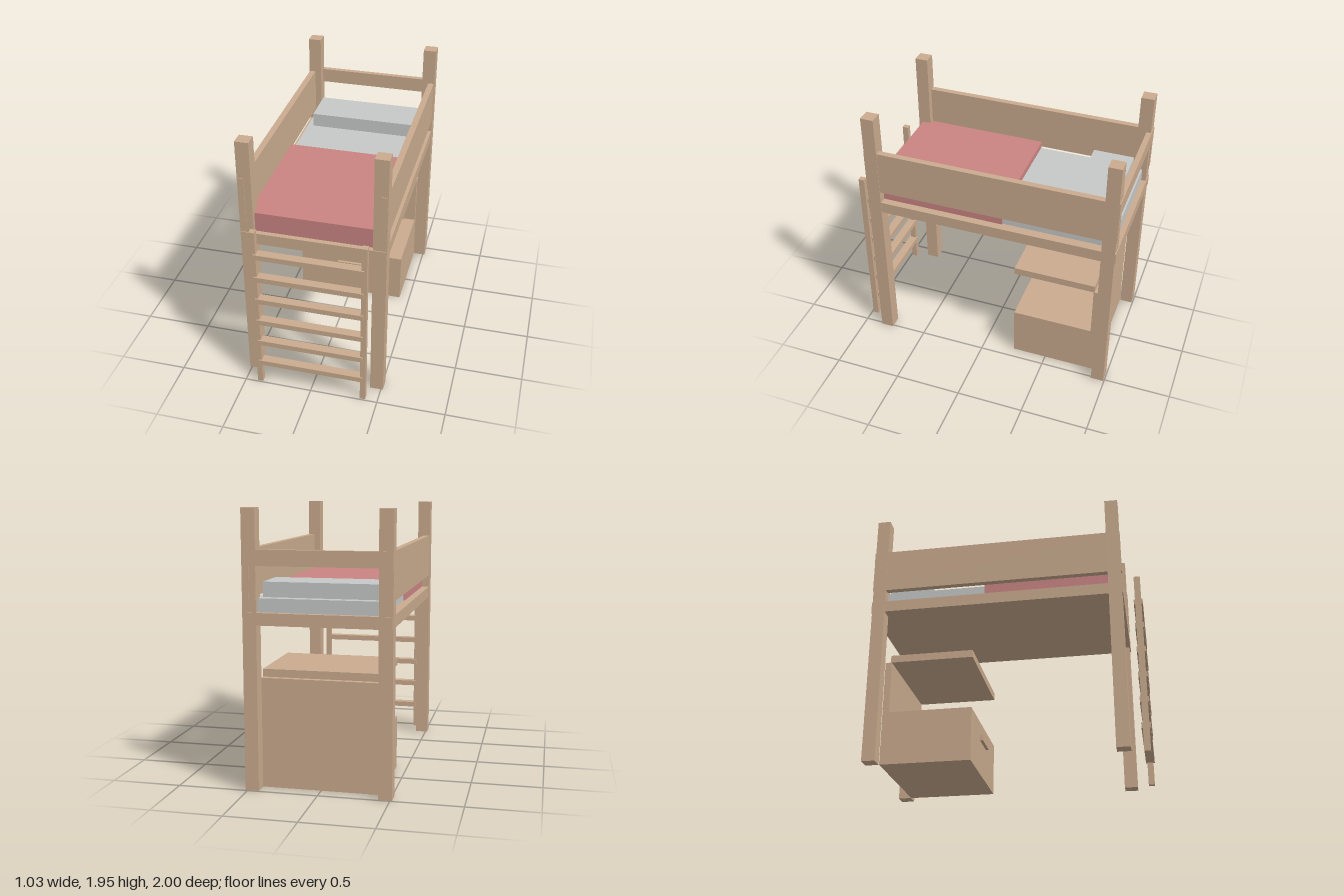
import * as THREE from 'three';

const mat = (name, color) => {
  const m = new THREE.MeshStandardMaterial({ color });
  m.name = name;
  return m;
};

export function createModel() {
  const wood = mat('wood', 0xc9aa8d);
  const linen = mat('linen', 0xc5c8c7);
  const blanketRed = mat('blanketRed', 0xc98482);
  const model = new THREE.Group();
  model.name = 'loftBed';

  // Box given by its lower and upper limits on each axis
  const box = (name, material, [x0, x1], [y0, y1], [z0, z1], parent = model) => {
    const mesh = new THREE.Mesh(new THREE.BoxGeometry(x1 - x0, y1 - y0, z1 - z0), material);
    mesh.position.set((x0 + x1) / 2, (y0 + y1) / 2, (z0 + z1) / 2);
    mesh.name = name;
    parent.add(mesh);
  };
  const group = (name) => {
    const g = new THREE.Group();
    g.name = name;
    model.add(g);
    return g;
  };
  const side = (s, a, b) => (s > 0 ? [a, b] : [-b, -a]);

  // Bed frame: posts, side boards, base and head rail
  const frame = group('bedFrame');
  for (const s of [1, -1]) {
    const label = s > 0 ? 'left' : 'right';
    box(label + 'FrontPost', wood, side(s, 0.418, 0.515), [0, 1.945], [0.765, 0.861], frame);
    box(label + 'BackPost', wood, side(s, 0.418, 0.515), [0, 1.945], [-0.993, -0.897], frame);
    box(label + 'SideBoard', wood, side(s, 0.466, 0.511), [1.34, 1.67], [-0.999, 0.866], frame);
  }
  box('bedBase', wood, [-0.511, 0.511], [1.16, 1.245], [-1, 0.867], frame);
  box('headRail', wood, [-0.511, 0.511], [1.56, 1.669], [-1, -0.96], frame);

  // Bedding
  const bedding = group('bedding');
  box('mattress', linen, [-0.445, 0.445], [1.245, 1.34], [-0.96, 0.82], bedding);
  box('blanket', blanketRed, [-0.455, 0.455], [1.245, 1.39], [-0.155, 0.83], bedding);
  box('pillow', linen, [-0.4, 0.4], [1.34, 1.445], [-0.893, -0.585], bedding);

  // Desk and drawer unit under the head end
  const desk = group('desk');
  box('deskTop', wood, [-0.42, 0.42], [0.78, 0.835], [-0.853, -0.242], desk);
  box('backPanel', wood, [-0.42, 0.42], [0, 0.78], [-0.893, -0.846], desk);
  box('drawerUnit', wood, [-0.42, 0.42], [0, 0.39], [-0.846, -0.242], desk);
  box('drawerHandle', wood, [-0.11, 0.11], [0.25, 0.293], [-0.242, -0.22], desk);

  // Ladder
  const ladder = group('ladder');
  for (const s of [1, -1])
    box(s > 0 ? 'leftPole' : 'rightPole', wood, side(s, 0.37, 0.41), [0, 1.335], [0.945, 0.99], ladder);
  for (let i = 0; i < 6; i++) {
    const y = 0.19 + i * 0.19;
    box('rung', wood, [-0.39, 0.39], [y - 0.02, y + 0.02], [0.935, 1], ladder);
  }

  return model;
}
